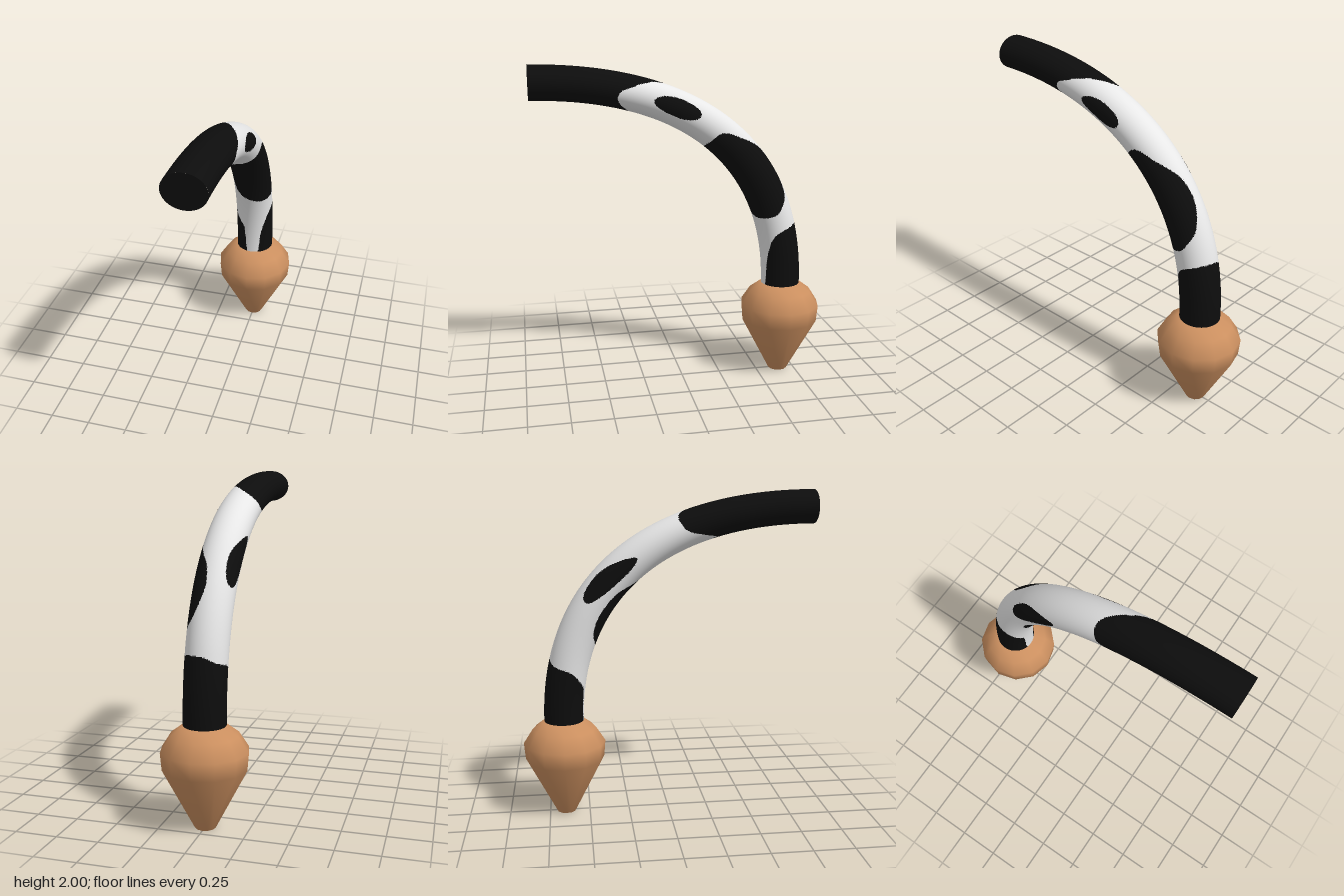
import * as THREE from 'three';

const white = new THREE.MeshStandardMaterial({ color: 0xe7e7e7 });
white.name = 'white hide';
const black = new THREE.MeshStandardMaterial({ color: 0x0d0d0d });
black.name = 'black patches';
const tan = new THREE.MeshStandardMaterial({ color: 0xcc9060 });
tan.name = 'tan hair';

// The tail is a quarter arch that is slimmer in its bending plane than across
const ORIGIN = { y: 0.6, z: 0.9 };
const REACH = 1.5475, RISE = 1.3, HALF_WIDTH = 0.122, SLIM = 0.079, BULGE = 0.64;
const arch = new THREE.CubicBezierCurve(
  new THREE.Vector2(1, 0), new THREE.Vector2(1, BULGE),
  new THREE.Vector2(BULGE, 1), new THREE.Vector2(0, 1));

// Patches as outlines of [degrees around the tail, fraction along it];
// 0 degrees is the outer side of the bend, 90 is +x, 180 the inner side
const outlines = [
  // base patch
  [[-200, -0.1], [-166, 0], [-161, 0.05], [-156, 0.09], [-139, 0.11], [-100, 0.14], [-45, 0.147],
    [0, 0.16], [90, 0.157], [118, 0.14], [132, 0.115], [148, 0.07], [158, 0], [190, -0.1]],
  // large patch on the +x side, wrapping the inner bend
  [[7, 0.335], [14, 0.39], [34, 0.43], [55, 0.465], [80, 0.515], [124, 0.522], [180, 0.51],
    [205, 0.47], [235, 0.413], [241, 0.32], [232, 0.273], [205, 0.24], [180, 0.227],
    [140, 0.212], [90, 0.21], [63, 0.228], [30, 0.262]],
  // small oval on the +x side
  [[93, 0.725], [68, 0.71], [56, 0.67], [60, 0.62], [78, 0.598], [102, 0.612], [114, 0.645], [111, 0.695]],
  // oval on the -x side
  [[-62, 0.345], [-42, 0.37], [-38, 0.43], [-60, 0.495], [-88, 0.535], [-103, 0.49], [-100, 0.42], [-82, 0.36]],
  // end patch
  [[-215, 1.2], [-205, 0.77], [-180, 0.76], [-150, 0.75], [-125, 0.725], [-90, 0.69], [-28, 0.693],
    [0, 0.715], [28, 0.748], [60, 0.78], [90, 0.808], [120, 0.806], [160, 0.772], [180, 0.76],
    [205, 0.75], [215, 1.2]],
];
const T_SCALE = 300;
const patches = outlines.map((outline) => new THREE.CatmullRomCurve3(
  outline.map(([deg, t]) => new THREE.Vector3(deg, t * T_SCALE, 0)), true).getPoints(outline.length * 8));

function inside(poly, x, y) {
  let hit = false;
  for (let i = 0, j = poly.length - 1; i < poly.length; j = i++) {
    const a = poly[i], b = poly[j];
    if ((a.y > y) !== (b.y > y) && x < ((b.x - a.x) * (y - a.y)) / (b.y - a.y) + a.x) hit = !hit;
  }
  return hit;
}

function isBlack(deg, t) {
  const y = t * T_SCALE;
  return patches.some((p) => inside(p, deg, y) || inside(p, deg + 360, y));
}

// Swept skin, its triangles sorted into white and black groups
function tailGeometry(rows = 300, sides = 120) {
  const positions = [], whiteFaces = [], blackFaces = [];
  const degrees = (j) => (j / sides) * 360 - 180;
  for (let i = 0; i <= rows; i++) {
    const c = arch.getPoint(i / rows);
    for (let j = 0; j < sides; j++) {
      const phi = THREE.MathUtils.degToRad(degrees(j));
      const s = 1 + SLIM * Math.cos(phi);
      positions.push(HALF_WIDTH * Math.sin(phi), ORIGIN.y + RISE * c.y * s, ORIGIN.z - REACH * c.x * s);
    }
  }
  for (let i = 0; i < rows; i++) {
    for (let j = 0; j < sides; j++) {
      const k = (j + 1) % sides;
      const a = i * sides + j, b = i * sides + k;
      const c = a + sides, d = b + sides;
      const add = (di, dj, ...face) =>
        (isBlack(degrees(j + dj), (i + di) / rows) ? blackFaces : whiteFaces).push(...face);
      add(1 / 3, 1 / 3, a, c, b);
      add(2 / 3, 2 / 3, b, c, d);
    }
  }
  const geometry = new THREE.BufferGeometry();
  geometry.setAttribute('position', new THREE.Float32BufferAttribute(positions, 3));
  geometry.setIndex([...whiteFaces, ...blackFaces]);
  geometry.addGroup(0, whiteFaces.length, 0);
  geometry.addGroup(whiteFaces.length, blackFaces.length, 1);
  geometry.computeVertexNormals();
  return geometry;
}

export function createModel() {
  const group = new THREE.Group();
  group.name = 'cow tail';

  const tail = new THREE.Mesh(tailGeometry(), [white, black]);
  tail.name = 'spotted tail';
  group.add(tail);

  // Flat oval closing the raised end
  const end = new THREE.Mesh(new THREE.CircleGeometry(1, 48), black);
  end.name = 'tail end cap';
  end.scale.set(HALF_WIDTH, RISE * SLIM, 1);
  end.position.set(0, ORIGIN.y + RISE, ORIGIN.z);
  group.add(end);

  // Twelve-sided hair tuft under the tail
  const profile = [[0, 0], [0.06, 0], [0.245, 0.355], [0.254, 0.457], [0.197, 0.546], [0.125, 0.6], [0, 0.6]]
    .map(([r, y]) => new THREE.Vector2(r, y));
  const tuft = new THREE.Mesh(new THREE.LatheGeometry(profile, 12), tan);
  tuft.name = 'hair tuft';
  tuft.position.z = ORIGIN.z - REACH;
  group.add(tuft);

  return group;
}
